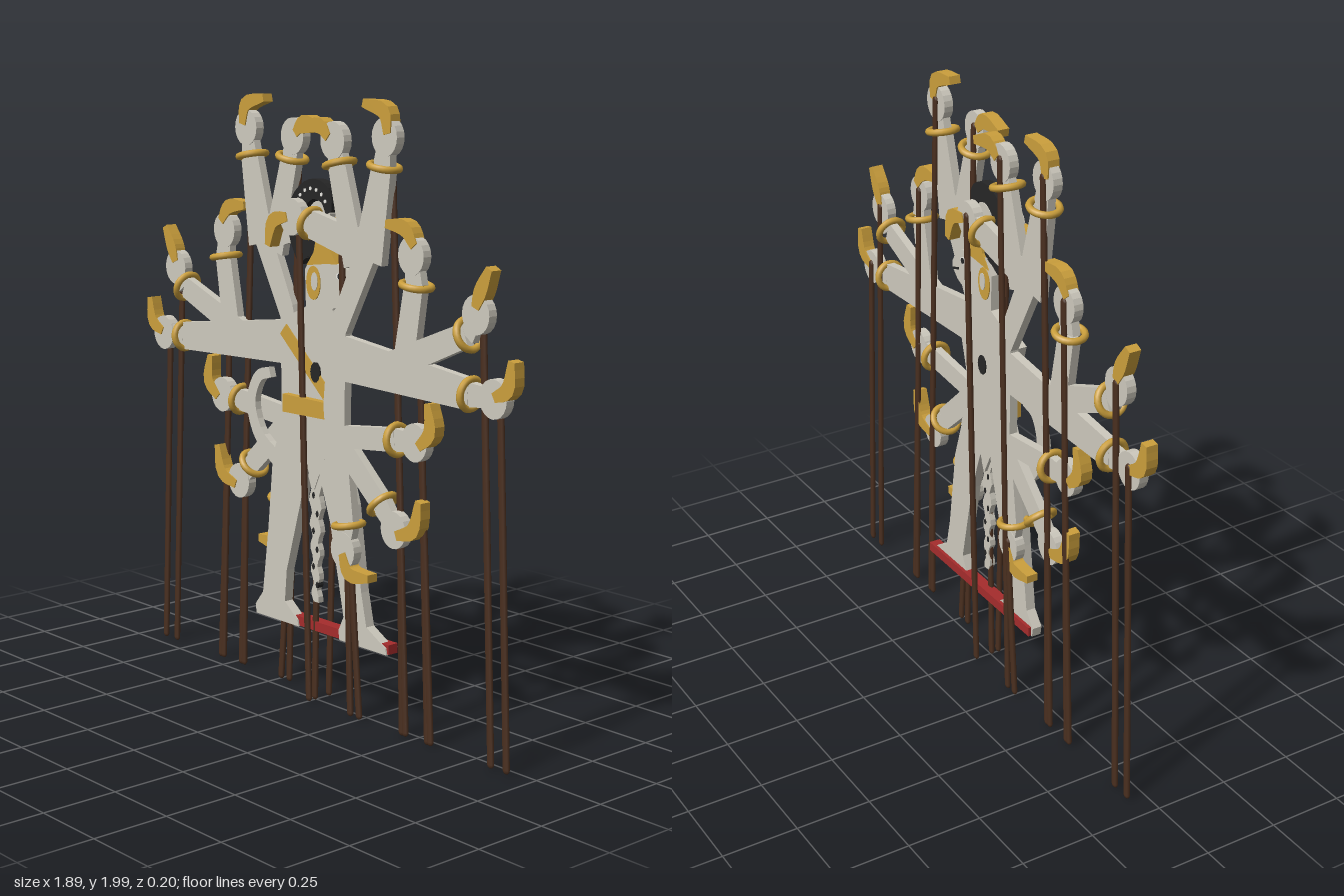
import * as THREE from 'three';

const mat = (name, color) => {
  const m = new THREE.MeshStandardMaterial({ color });
  m.name = name;
  return m;
};
const V = (p) => new THREE.Vector2(p[0], p[1]);

export function createModel() {
  const model = new THREE.Group();
  model.name = 'manyArmedPuppet';
  const skin = mat('paleHide', 0xcdc9bd);
  const gold = mat('gold', 0xcb9f3c);
  const wood = mat('darkWood', 0x4a2f1f);
  const black = mat('black', 0x262626);
  const red = mat('red', 0xa52c2c);
  const white = mat('white', 0xf2f0ea);

  // flat plate from an outline, between z0 and z1
  function plate(parent, name, material, pts, z0, z1) {
    const g = new THREE.ExtrudeGeometry(new THREE.Shape(pts.map(V)), { depth: z1 - z0, bevelEnabled: false });
    g.translate(0, 0, z0);
    const m = new THREE.Mesh(g, material);
    m.name = name;
    parent.add(m);
    return m;
  }
  // flat band along a smooth path; each point is [x, y, width]
  function band(parent, name, material, pts, z0, z1, steps = 14) {
    const n = pts.length === 2 ? 1 : steps;
    const curve = new THREE.CatmullRomCurve3(pts.map((p) => new THREE.Vector3(p[0], p[1], p[2])));
    const a = [], b = [];
    for (let i = 0; i <= n; i++) {
      const p = curve.getPoint(i / n), t = curve.getTangent(i / n);
      const l = Math.hypot(t.x, t.y) || 1, w = p.z / 2;
      a.push([p.x - (t.y / l) * w, p.y + (t.x / l) * w]);
      b.unshift([p.x + (t.y / l) * w, p.y - (t.x / l) * w]);
    }
    return plate(parent, name, material, [...a, ...b], z0, z1);
  }
  function disc(parent, name, material, x, y, rx, ry, z0, z1, sides = 20) {
    const pts = [];
    for (let i = 0; i < sides; i++) {
      const a = (i / sides) * Math.PI * 2;
      pts.push([x + rx * Math.cos(a), y + ry * Math.sin(a)]);
    }
    return plate(parent, name, material, pts, z0, z1);
  }
  // slim flattened stick from top point to the ground
  function rod(parent, x0, y0, x1, z) {
    const len = Math.hypot(x1 - x0, y0 - 0.012);
    const m = new THREE.Mesh(new THREE.CapsuleGeometry(0.0135, len, 3, 8), wood);
    m.scale.z = 0.6;
    m.position.set((x0 + x1) / 2, (y0 + 0.013) / 2, z);
    m.rotation.z = Math.atan2(x1 - x0, y0);
    m.name = 'controlRod';
    parent.add(m);
  }

  // arms: root, wrist, hand centre, claw path, rod foot x
  const arms = [
    { root: [0.31, 1.5, 0.13], wrist: [0.37, 1.79, 0.085], hand: [0.385, 1.88], claw: [[0.4, 1.89], [0.385, 1.955], [0.29, 1.98]], foot: 0.465 },
    { root: [0.25, 1.48, 0.1], wrist: [0.165, 1.79, 0.08], hand: [0.148, 1.86], claw: [[0.13, 1.87], [0.09, 1.905], [0, 1.89]], foot: 0.205 },
    { root: [0.47, 1.18, 0.09], wrist: [0.515, 1.44, 0.08], hand: [0.505, 1.53], claw: [[0.52, 1.56], [0.48, 1.61], [0.395, 1.62]], foot: 0.565 },
    { root: [0.38, 1.17, 0.09], wrist: [0.735, 1.315, 0.075], hand: [0.78, 1.38], claw: [[0.78, 1.4], [0.8, 1.45], [0.835, 1.52]], foot: 0.84 },
    { root: [0.15, 1.185, 0.15], wrist: [0.75, 1.14, 0.095], hand: [0.855, 1.14], claw: [[0.86, 1.145], [0.915, 1.175], [0.93, 1.26]], foot: 0.905 },
    { root: [0.15, 0.925, 0.07], wrist: [0.435, 0.955, 0.075], hand: [0.525, 0.96], claw: [[0.545, 0.95], [0.595, 1.0], [0.585, 1.09]], foot: 0.578 },
    { root: [0.165, 0.925, 0.08], wrist: [0.37, 0.74, 0.075], hand: [0.435, 0.67], claw: [[0.45, 0.655], [0.525, 0.685], [0.55, 0.78]], foot: 0.45 },
    { root: [0.165, 0.95, 0.09], wrist: [0.212, 0.645, 0.075], hand: [0.2, 0.56], claw: [[0.2, 0.55], [0.23, 0.49], [0.325, 0.49]], foot: 0.248 },
    { root: [0.29, 1.53, 0.1], wrist: [0.03, 1.595, 0.09], hand: [-0.05, 1.61], claw: [[-0.07, 1.61], [-0.14, 1.59], [-0.165, 1.51]], foot: 0.0 },
  ];

  // one fan of nine arms; s mirrors it left to right
  function armFan(s, z) {
    const fan = new THREE.Group();
    fan.name = s > 0 ? 'leftArmFan' : 'rightArmFan';
    fan.position.z = z;
    model.add(fan);
    const f = (p) => [p[0] * s, ...p.slice(1)];
    plate(fan, 'shoulderPlate', skin, [[0.125, 1.22], [0.15, 1.31], [0.25, 1.52], [0.24, 1.6], [0.36, 1.6],
      [0.35, 1.52], [0.21, 1.26], [0.205, 0.9], [0.19, 0.8], [0.13, 0.8], [0.105, 1.02]].map(f), -0.014, 0.014);
    for (const a of arms) {
      const arm = new THREE.Group();
      arm.name = 'arm';
      fan.add(arm);
      const [hx, hy] = f(a.hand), [wx, wy] = f(a.wrist);
      band(arm, 'forearm', skin, [f(a.root), f(a.wrist)], -0.014, 0.014);
      band(arm, 'wrist', skin, [[wx, wy, 0.075], [hx, hy, 0.055]], -0.0135, 0.0135);
      disc(arm, 'hand', skin, hx, hy, 0.056, 0.06, -0.016, 0.016);
      const w = [0.03, 0.05, 0.026];
      band(arm, 'claw', gold, a.claw.map((p, i) => [...f(p), w[i]]), -0.02, 0.02, 8);
      // bracelet ring around the wrist
      const ring = new THREE.Mesh(new THREE.TorusGeometry(0.046, 0.0115, 8, 24), gold);
      ring.name = 'bracelet';
      ring.position.set(wx, wy, 0);
      const rx = a.root[0] * s;
      ring.quaternion.setFromUnitVectors(new THREE.Vector3(0, 0, 1), new THREE.Vector3(wx - rx, wy - a.root[1], 0).normalize());
      arm.add(ring);
      rod(arm, hx, hy + 0.01, a.foot * s, -0.016);
    }
  }
  armFan(1, 0.047);
  armFan(-1, -0.041);

  // body
  const B0 = -0.017, B1 = 0.017;
  plate(model, 'torso', skin, [[-0.19, 1.25], [-0.03, 1.32], [0.1, 1.32], [0.17, 1.22], [0.11, 1.0], [0.16, 0.83], [0.11, 0.76],
    [0.06, 0.83], [0.01, 0.72], [-0.03, 0.8], [-0.17, 0.715], [-0.2, 0.8], [-0.17, 0.88], [-0.115, 1.0]], B0, B1);
  plate(model, 'rightLeg', skin, [[-0.2, 0.8], [-0.225, 0.55], [-0.255, 0.32], [-0.295, 0.27], [-0.29, 0.238], [-0.07, 0.238],
    [-0.075, 0.26], [-0.14, 0.31], [-0.13, 0.42], [-0.06, 0.66], [-0.02, 0.82]], B0, B1);
  plate(model, 'leftLeg', skin, [[0.02, 0.82], [0.09, 0.62], [0.155, 0.32], [0.13, 0.27], [0.135, 0.238], [0.36, 0.238],
    [0.355, 0.26], [0.265, 0.31], [0.24, 0.42], [0.2, 0.7], [0.15, 0.85]], B0, B1);
  band(model, 'tail', skin, [[-0.22, 1.08, 0.035], [-0.28, 1.06, 0.04], [-0.32, 0.97, 0.045], [-0.28, 0.86, 0.05], [-0.17, 0.78, 0.06]], -0.012, 0.012);

  // scalloped hanging strip between the legs
  const l = [], r = [];
  for (let i = 0; i <= 24; i++) {
    const t = i / 24, y = 0.82 - 0.48 * t, k = 0.03 - 0.018 * t;
    l.push([0.012 - k + 0.007 * Math.sin(i * 1.6), y]);
    r.unshift([0.012 + k + 0.007 * Math.cos(i * 1.6), y]);
  }
  plate(model, 'hangingStrip', skin, [...l, ...r], -0.006, 0.014);
  for (let i = 0; i < 6; i++) disc(model, 'stripMark', black, 0.012 + (i % 2 ? 0.01 : -0.008), 0.7 - i * 0.06, 0.006, 0.011, -0.008, 0.016, 8);

  // central rod, its pin and the foot board
  rod(model, 0.02, 1.1, 0, 0.005);
  disc(model, 'pin', black, 0.02, 1.11, 0.024, 0.034, -0.021, 0.022, 10);
  plate(model, 'footBoard', red, [[-0.285, 0.24], [0.365, 0.24], [0.365, 0.272], [-0.285, 0.272]], -0.028, 0.012);

  // belt and sash
  plate(model, 'belt', gold, [[-0.118, 0.965], [0.108, 0.968], [0.108, 1.022], [-0.118, 1.025]], 0.016, 0.043);
  band(model, 'sash', gold, [[-0.14, 1.235, 0.045], [0.1, 1.02, 0.045]], 0.016, 0.022);

  // head
  plate(model, 'head', skin, [[-0.03, 1.3], [-0.035, 1.44], [0.0, 1.49], [0.09, 1.475], [0.15, 1.465], [0.18, 1.45], [0.205, 1.41],
    [0.205, 1.385], [0.175, 1.355], [0.13, 1.335], [0.1, 1.325], [0.1, 1.29]], B0, B1);
  band(model, 'hair', black, [[0.085, 1.63, 0.03], [0.065, 1.685, 0.06], [0, 1.7, 0.065], [-0.065, 1.65, 0.07],
    [-0.07, 1.56, 0.08], [-0.02, 1.48, 0.1]], -0.012, 0.022, 20);
  disc(model, 'hairBun', black, -0.035, 1.54, 0.065, 0.065, -0.012, 0.021);
  disc(model, 'hairFan', skin, 0.035, 1.625, 0.05, 0.04, -0.008, 0.016);
  plate(model, 'crown', gold, [[-0.02, 1.455], [0.015, 1.5], [0.03, 1.56], [0.075, 1.535], [0.125, 1.47], [0.06, 1.465]], -0.021, 0.024);
  for (let i = 0; i < 7; i++) {
    const a = 0.5 + i * 0.38;
    disc(model, 'hairDot', white, 0.004 + 0.075 * Math.cos(a), 1.63 + 0.072 * Math.sin(a), 0.006, 0.006, 0.021, 0.0245, 8);
  }
  // face details on both sides
  for (const [z0, z1] of [[0.016, 0.02], [-0.02, -0.016]]) {
    disc(model, 'ear', gold, 0.008, 1.4, 0.034, 0.055, z0, z1);
    disc(model, 'earCentre', skin, 0.015, 1.405, 0.016, 0.03, z0 * 1.1, z1 * 1.1, 12);
    disc(model, 'eyeWhite', white, 0.135, 1.432, 0.017, 0.012, z0, z1, 12);
    disc(model, 'pupil', black, 0.137, 1.432, 0.009, 0.01, z0 * 1.1, z1 * 1.1, 10);
    band(model, 'mouth', black, [[0.2, 1.385, 0.007], [0.165, 1.395, 0.007]], z0, z1);
  }
  return model;
}
